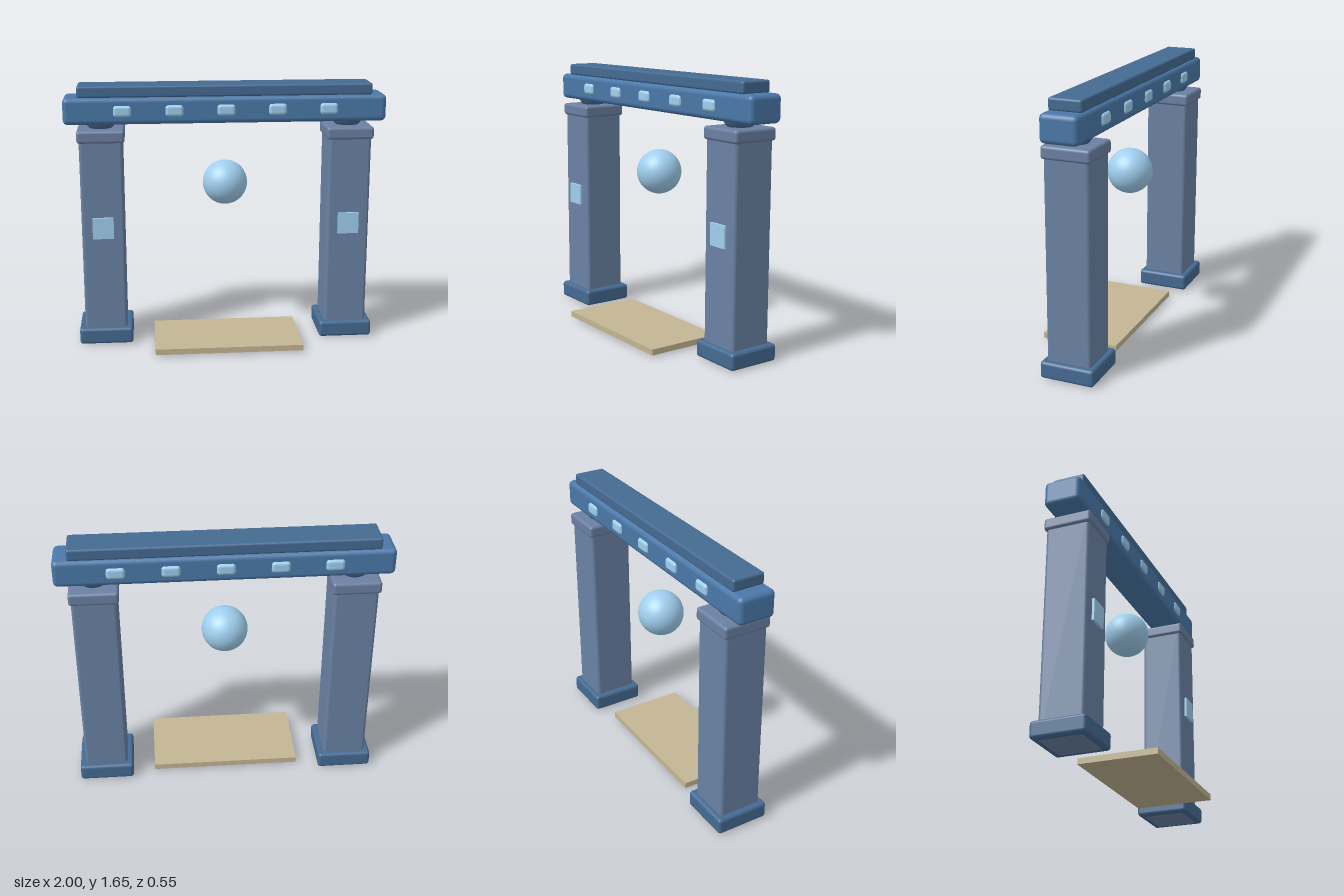
import * as THREE from 'three';
import { RoundedBoxGeometry } from 'three/addons/geometries/RoundedBoxGeometry.js';

const paint = (color) => new THREE.MeshStandardMaterial({ color });

export function createModel() {
  const model = new THREE.Group();
  model.name = 'gateway';

  const darkBlue = paint(0x456a92);
  const beamBlue = paint(0x4a78a8);
  const stone = paint(0x6a82a4);
  const capStone = paint(0x6b80a2);
  const glow = paint(0xa0cfee);
  const sand = paint(0xc4b694);

  function add(name, geometry, material, x, y, z, parent = model) {
    const mesh = new THREE.Mesh(geometry, material);
    mesh.name = name;
    mesh.position.set(x, y, z);
    parent.add(mesh);
    return mesh;
  }

  // Rounded block given by its extents on each axis
  function block(name, [x0, x1], [y0, y1], [z0, z1], radius, material, parent) {
    const geometry = new RoundedBoxGeometry(x1 - x0, y1 - y0, z1 - z0, 3, radius);
    return add(name, geometry, material, (x0 + x1) / 2, (y0 + y1) / 2, (z0 + z1) / 2, parent);
  }

  // Two pillars, each with base, shaft, capital, bearing and front panel
  for (const side of [-1, 1]) {
    const pillar = new THREE.Group();
    pillar.name = side > 0 ? 'leftPillar' : 'rightPillar';
    pillar.position.x = side * 0.774;
    model.add(pillar);

    block('base', [-0.17, 0.17], [0.005, 0.11], [-0.277, 0.06], 0.02, darkBlue, pillar);
    block('shaft', [-0.134, 0.134], [0, 1.34], [-0.245, 0.03], 0.02, stone, pillar);
    block('capital', [-0.147, 0.147], [1.31, 1.388], [-0.257, 0.042], 0.018, capStone, pillar);
    add('bearing', new THREE.SphereGeometry(0.1, 24, 16), darkBlue, 0, 1.455, -0.108, pillar);
    add('panel', new THREE.BoxGeometry(0.132, 0.135, 0.03), glow, 0, 0.772, 0.03, pillar);
  }

  // Lintel with a thinner slab on top
  block('lintel', [-1, 1], [1.418, 1.585], [-0.224, 0.008], 0.03, beamBlue);
  block('topSlab', [-0.912, 0.912], [1.582, 1.655], [-0.21, -0.008], 0.014, darkBlue);

  // Studs that show on both faces of the lintel
  for (let i = -2; i <= 2; i++) {
    const x = i * 0.319;
    block('stud', [x - 0.056, x + 0.056], [1.466, 1.538], [-0.238, 0.022], 0.02, glow);
  }

  // Floating orb and threshold step
  add('orb', new THREE.SphereGeometry(0.141, 40, 28), glow, 0, 1.022, -0.108);
  add('step', new THREE.BoxGeometry(0.93, 0.037, 0.49), sand, 0, 0.028, 0.032);

  return model;
}
